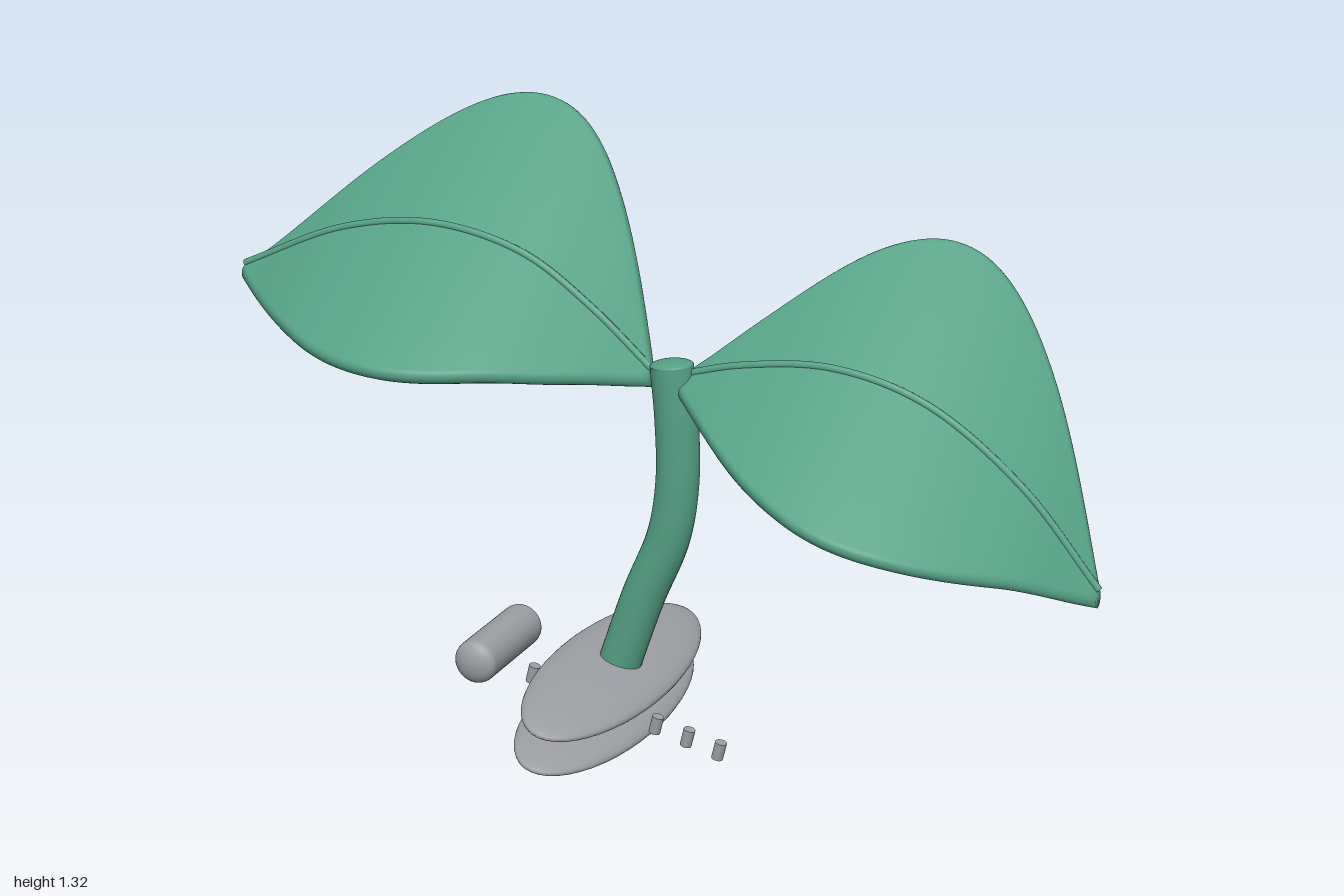
import * as THREE from 'three';

const green = new THREE.MeshStandardMaterial({ color: 0x55a085 });
green.name = 'leafGreen';
const grey = new THREE.MeshStandardMaterial({ color: 0x9c9ea3 });
grey.name = 'baseGrey';

const TILT = -0.235; // lean of the base parts
const SLOPE = Math.atan(0.68); // leaves fall towards the front
const RIM = 0.018; // half thickness of a leaf

function part(name, geometry, material, parent) {
  const mesh = new THREE.Mesh(geometry, material);
  mesh.name = name;
  parent.add(mesh);
  return mesh;
}

const curve = (pts) => new THREE.CatmullRomCurve3(pts.map(([x, y]) => new THREE.Vector3(x, y, 0)));

// Outline of one cross-section: a bar with round ends, as [across, thickness]
function section(back, front) {
  const ring = [];
  const arc = 8, flat = 8;
  const ends = [[front, -Math.PI / 2], [-back, Math.PI / 2]];
  ends.forEach(([c, start], k) => {
    for (let i = 0; i <= arc; i++) {
      const a = start + (Math.PI * i) / arc;
      ring.push([c + RIM * Math.cos(a), RIM * Math.sin(a)]);
    }
    const other = ends[1 - k][0];
    for (let i = 1; i < flat; i++) {
      ring.push([THREE.MathUtils.lerp(c, other, i / flat), k === 0 ? RIM : -RIM]);
    }
  });
  return ring;
}

// Thick leaf lofted along its midline; backSkew moves the widest point of the back edge
function leafGeometry(midline, backSkew) {
  const N = 64, c = Math.cos(SLOPE), s = Math.sin(SLOPE);
  const first = midline.getPoint(0), last = midline.getPoint(1);
  const pos = [], index = [];
  let count = 0;
  for (let i = 0; i <= N; i++) {
    const p = midline.getPoint(i / N);
    const t = THREE.MathUtils.clamp((p.x - first.x) / (last.x - first.x), 0, 1);
    const back = (0.345 * Math.sin(Math.PI * Math.pow(t, backSkew))) / c;
    const front = (0.317 * Math.sin(Math.PI * t)) / c;
    const ring = section(Math.max(back, 0.0005), Math.max(front, 0.0005));
    count = ring.length;
    for (const [u, v] of ring) pos.push(p.x, p.y - u * s + v * c, u * c + v * s);
  }
  for (let i = 0; i < N; i++) {
    for (let j = 0; j < count; j++) {
      const k = (j + 1) % count;
      const a = i * count + j, b = i * count + k;
      index.push(a, a + count, b, b, a + count, b + count);
    }
  }
  // end caps
  const base = pos.length / 3;
  pos.push(first.x, first.y, 0, last.x, last.y, 0);
  for (let j = 0; j < count; j++) {
    const k = (j + 1) % count;
    index.push(base, j, k, base + 1, N * count + k, N * count + j);
  }
  const g = new THREE.BufferGeometry();
  g.setAttribute('position', new THREE.Float32BufferAttribute(pos, 3));
  g.setIndex(index);
  g.computeVertexNormals();
  return g;
}

function addLeaf(name, pts, backSkew, parent) {
  const leaf = new THREE.Group();
  leaf.name = name;
  parent.add(leaf);
  const mid = curve(pts);
  part('blade', leafGeometry(mid, backSkew), green, leaf);
  // raised midrib along the upper face
  const rib = curve(pts.map(([x, y]) => [x, y + 0.02]));
  part('midrib', new THREE.TubeGeometry(rib, 64, 0.009, 8), green, leaf);
}

export function createModel() {
  const model = new THREE.Group();
  model.name = 'sprout';

  // Curved stem with a low domed top
  const stem = new THREE.Group();
  stem.name = 'stem';
  stem.scale.z = 0.88;
  model.add(stem);
  const path = curve([[-0.095, 0.13], [-0.03, 0.32], [0.03, 0.47], [0.05, 0.6], [0.047, 0.74], [0.036, 0.855]]);
  part('stalk', new THREE.TubeGeometry(path, 40, 0.048, 28), green, stem);
  const top = part('stalkTop', new THREE.SphereGeometry(0.048, 28, 8, 0, Math.PI * 2, 0, Math.PI / 2), green, stem);
  top.position.set(0.036, 0.855, 0);
  top.scale.y = 0.25;
  top.rotation.z = 0.09;

  // Two drooping leaves
  addLeaf('leftLeaf', [[0.05, 0.815], [0.2, 0.855], [0.4, 0.873], [0.6, 0.822], [0.81, 0.672], [0.98, 0.475]], 1.25, model);
  addLeaf('rightLeaf', [[-0.995, 0.943], [-0.74, 1.053], [-0.52, 1.085], [-0.31, 1.042], [-0.15, 0.94], [-0.01, 0.82]], 1.36, model);

  // Two flat oval discs
  [['upperDisc', -0.1, 0.135], ['lowerDisc', -0.118, 0.053]].forEach(([name, x, y]) => {
    const disc = part(name, new THREE.SphereGeometry(1, 48, 24), grey, model);
    disc.scale.set(0.133, 0.033, 0.39);
    disc.position.set(x, y, 0);
    disc.rotation.z = TILT;
  });

  // Row of small pegs
  for (let i = 0; i < 7; i++) {
    const peg = part('peg', new THREE.CylinderGeometry(0.013, 0.013, 0.04, 16), grey, model);
    peg.position.set(-0.255 + i * 0.0737, 0.134 - i * 0.0173, 0.09);
    peg.rotation.z = TILT;
  }

  // Round-ended roller beside the discs
  const profile = [];
  for (let i = 0; i <= 6; i++) {
    const a = (i / 6) * (Math.PI / 2);
    profile.push(new THREE.Vector2(0.05 * Math.sin(a), -0.113 - 0.027 * Math.cos(a)));
  }
  const half = profile.slice().reverse().map((p) => new THREE.Vector2(p.x, -p.y));
  const roller = part('roller', new THREE.LatheGeometry([...profile, ...half], 32), grey, model);
  roller.position.set(-0.383, 0.15, 0);
  roller.rotation.x = Math.PI / 2;

  return model;
}
